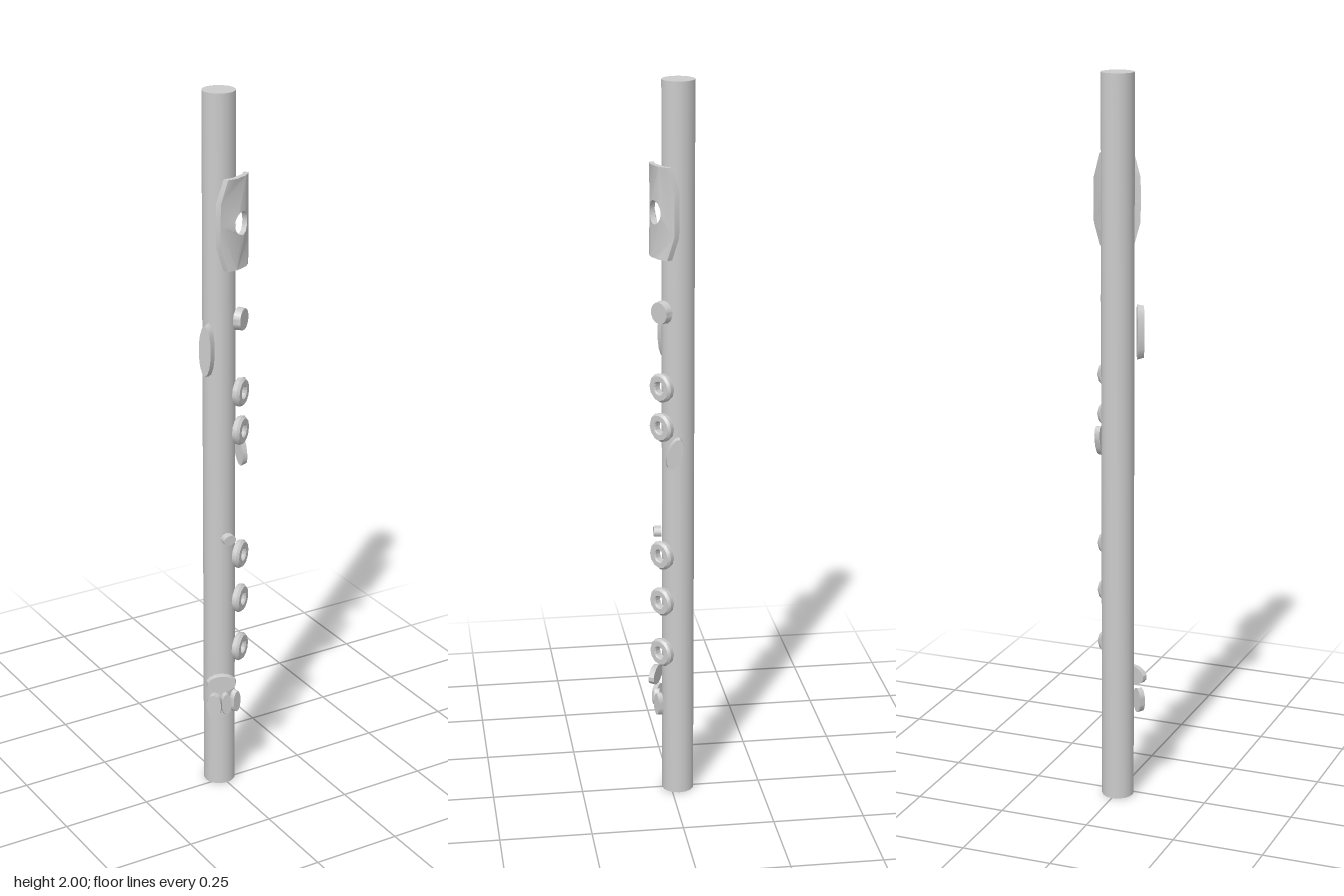
import * as THREE from 'three';
import { toCreasedNormals } from 'three/addons/utils/BufferGeometryUtils.js';

const CX = -0.001, CZ = -0.02; // tube axis
const rad = THREE.MathUtils.degToRad;
const material = new THREE.MeshStandardMaterial({ color: 0xcccccc });
const crease = (geo) => toCreasedNormals(geo, rad(35));
const lathe = (points, sides) =>
  new THREE.LatheGeometry(points.map(([r, y]) => new THREE.Vector2(r, y)), sides);

// Place a part facing outward (local +z) around the tube; angle 0 = +x, 90 = front
function place(group, name, geo, y, angle, radius, facing = angle, roll = 0) {
  const mesh = new THREE.Mesh(geo, material);
  mesh.name = name;
  const a = rad(angle);
  mesh.position.set(CX + radius * Math.cos(a), y, CZ + radius * Math.sin(a));
  mesh.rotation.set(0, rad(90 - facing), roll);
  group.add(mesh);
}

// Ring key with an open centre and a slightly bevelled rim
function ringKey() {
  const geo = lathe([[0.016, -0.01], [0.038, -0.01], [0.04, 0.003], [0.034, 0.01],
    [0.019, 0.01], [0.016, 0.006], [0.016, -0.01]], 12);
  geo.rotateX(Math.PI / 2);
  return crease(geo);
}

// Solid oval touch piece
function pad(halfWidth, halfHeight, thickness) {
  const geo = new THREE.CylinderGeometry(0.94, 1, thickness, 14);
  geo.rotateX(Math.PI / 2);
  geo.scale(halfWidth, halfHeight, 1);
  return crease(geo);
}

// Eight-sided plate with a blow hole, bent around the tube
function lipPlate() {
  const shape = new THREE.Shape([
    [-0.045, -0.122], [-0.02, -0.122], [0.02, -0.122], [0.045, -0.122],
    [0.061, -0.06], [0.062, 0], [0.061, 0.06],
    [0.045, 0.122], [0.02, 0.122], [-0.02, 0.122], [-0.045, 0.122],
    [-0.061, 0.06], [-0.062, 0], [-0.061, -0.06],
  ].map(([x, y]) => new THREE.Vector2(x, y)));
  const hole = new THREE.Path();
  hole.absellipse(0, 0, 0.027, 0.032, 0, Math.PI * 2, true);
  shape.holes.push(hole);
  const geo = new THREE.ExtrudeGeometry(shape, { depth: 0.015, bevelEnabled: false, curveSegments: 7 });
  const p = geo.attributes.position;
  for (let i = 0; i < p.count; i++) p.setZ(i, p.getZ(i) - 6.6 * p.getX(i) ** 2);
  return crease(geo);
}

export function createModel() {
  const model = new THREE.Group();
  model.name = 'flute';

  // Body with an open bore at the foot
  const body = new THREE.Mesh(crease(lathe(
    [[0, 1.9], [0.02, 1.9], [0.02, 0], [0.044, 0], [0.044, 2], [0, 2]], 16)), material);
  body.name = 'body';
  body.position.set(CX, 0, CZ);
  model.add(body);

  place(model, 'lipPlate', lipPlate(), 1.662, 66, 0.06);

  // Main row of keys
  for (const y of [1.19, 1.08, 0.715, 0.58, 0.43]) place(model, 'ringKey', ringKey(), y, 53, 0.063);
  place(model, 'smallKey', pad(0.031, 0.031, 0.02), 1.395, 53, 0.062);

  // Side and thumb levers
  place(model, 'thumbKey', pad(0.02, 0.075, 0.018), 1.316, 153, 0.06);
  place(model, 'sideLever', pad(0.021, 0.046, 0.016), 1.01, 16, 0.06, 0, -0.3);
  place(model, 'trillKey', pad(0.019, 0.015, 0.02), 0.77, 93, 0.056);

  // Foot keys
  place(model, 'footLever', pad(0.042, 0.026, 0.016), 0.335, 115, 0.065);
  place(model, 'footKey', pad(0.022, 0.036, 0.016), 0.265, 132, 0.066);
  place(model, 'footRoller', pad(0.015, 0.034, 0.014), 0.265, 101, 0.058);
  place(model, 'footRoller', pad(0.016, 0.034, 0.014), 0.265, 71, 0.059);

  return model;
}
